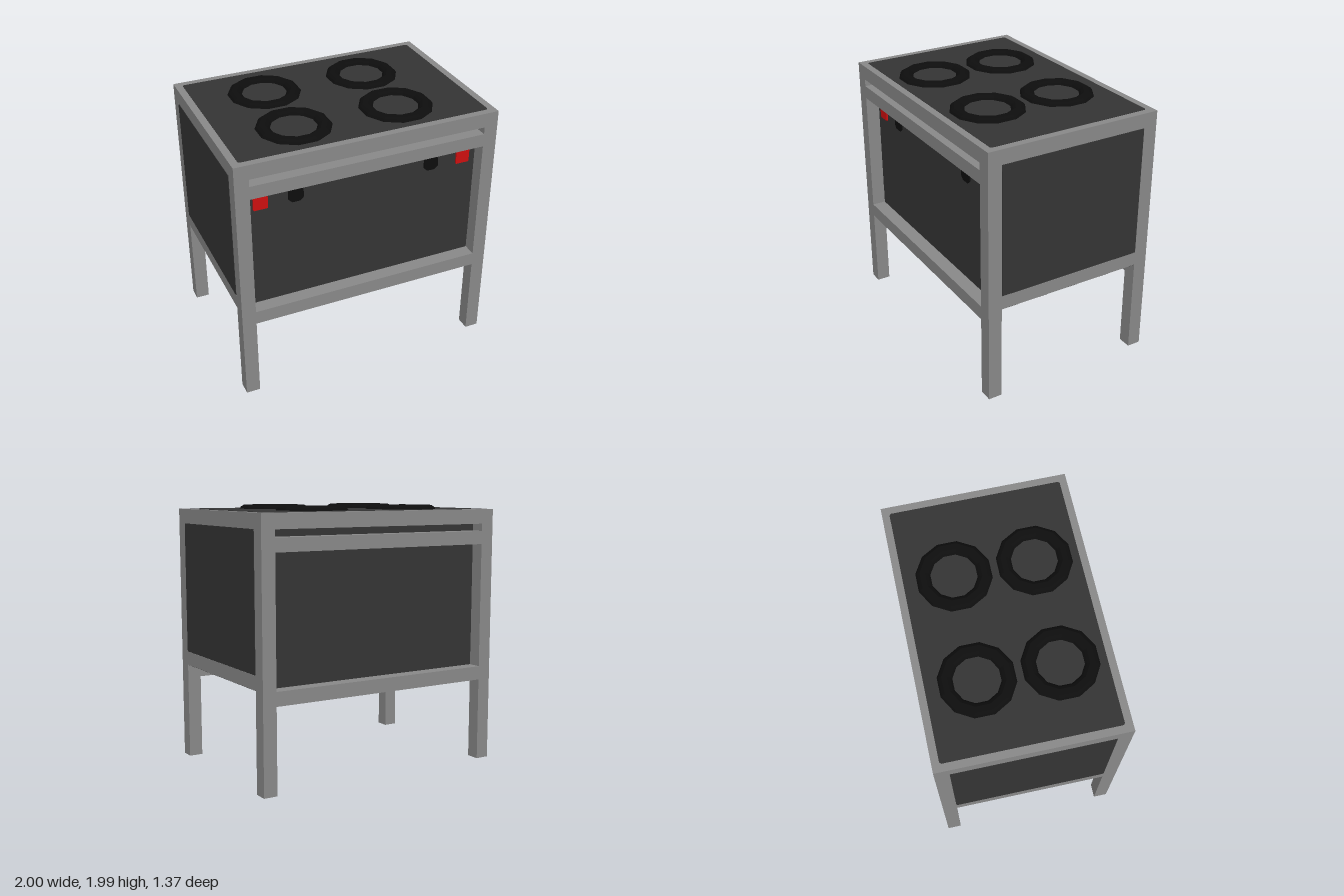
import * as THREE from 'three';

const material = (name, color) => {
  const m = new THREE.MeshStandardMaterial({ color });
  m.name = name;
  return m;
};

// Flat plate with slightly cut corners, facing +z
function plateGeometry(w, h, depth, cut) {
  const x = w / 2, y = h / 2;
  const outline = [
    [-x + cut, -y], [x - cut, -y], [x, -y + cut], [x, y - cut],
    [x - cut, y], [-x + cut, y], [-x, y - cut], [-x, -y + cut],
  ].map(([a, b]) => new THREE.Vector2(a, b));
  return new THREE.ExtrudeGeometry(new THREE.Shape(outline), { depth, bevelEnabled: false });
}

export function createModel() {
  const steel = material('grey steel', 0x888888);
  const dark = material('dark panel', 0x343434);
  const black = material('black iron', 0x0d0d0d);
  const red = material('red', 0xcc0f0f);

  const model = new THREE.Group();
  model.name = 'stove';
  const add = (name, geometry, mat, x, y, z) => {
    const mesh = new THREE.Mesh(geometry, mat);
    mesh.name = name;
    mesh.position.set(x, y, z);
    model.add(mesh);
    return mesh;
  };
  const box = (name, mat, w, h, d, x, y, z) =>
    add(name, new THREE.BoxGeometry(w, h, d), mat, x, y, z);

  const X = 1, Z = 0.684, H = 1.955, T = 0.105;
  const innerX = X - T, innerZ = Z - T;

  // Corner legs
  for (const sx of [-1, 1]) for (const sz of [-1, 1])
    box('leg', steel, T, H, T, sx * (X - T / 2), H / 2, sz * (Z - T / 2));

  // Front and back rails, with a slot between the upper two
  for (const sz of [-1, 1])
    for (const [bottom, top] of [[0.635, 0.74], [1.69, 1.79], [1.845, H]])
      box('longRail', steel, innerX * 2, top - bottom, T, 0, (bottom + top) / 2, sz * (Z - T / 2));

  // Side rails
  for (const sx of [-1, 1])
    for (const [bottom, top] of [[0.74, 0.845], [1.845, H]])
      box('sideRail', steel, T, top - bottom, innerZ * 2, sx * (X - T / 2), (bottom + top) / 2, 0);

  // Oven body, recessed at front and back
  box('ovenBody', dark, 1.996, 1.212, innerZ * 2 - 0.002, 0, 1.344, 0);

  // Side panels and cooktop
  for (const sx of [-1, 1])
    add('sidePanel', plateGeometry(1.152, 0.995, 0.006, 0.012), dark, sx * 0.996, 1.345, 0)
      .rotation.y = sx * Math.PI / 2;
  add('cooktop', plateGeometry(1.89, 1.26, 0.006, 0.012), dark, 0, H - 0.004, 0)
    .rotation.x = -Math.PI / 2;

  // Twelve-sided burner rings
  const profile = [[0.274, 0], [0.262, 0.017], [0.242, 0.029], [0.2, 0.029], [0.18, 0.017], [0.166, 0]]
    .map(([r, y]) => new THREE.Vector2(r, y));
  const ring = new THREE.LatheGeometry(profile, 12, Math.PI / 12).toNonIndexed();
  ring.computeVertexNormals();
  for (const x of [-0.425, 0.365]) for (const z of [-0.27, 0.31])
    add('burner', ring, black, x, H + 0.001, z);

  // Front controls
  const button = plateGeometry(0.108, 0.112, 0.012, 0.006);
  const knob = plateGeometry(0.112, 0.112, 0.012, 0.025);
  for (const sx of [-1, 1]) {
    add('redButton', button, red, sx * 0.79, 1.585, innerZ - 0.002);
    add('knob', knob, black, sx * 0.528, 1.585, innerZ - 0.002);
  }
  return model;
}
